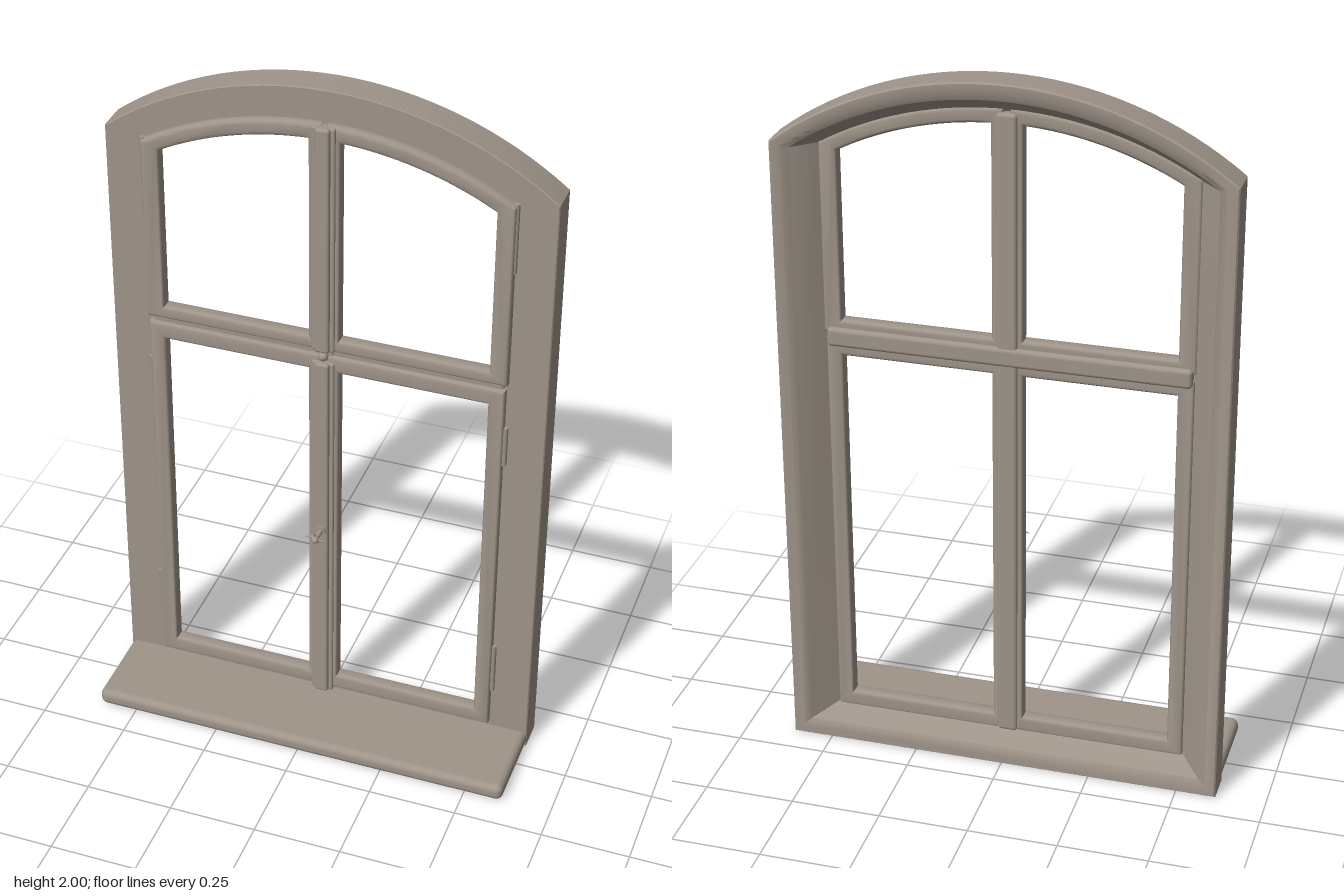
import * as THREE from 'three';
import { toCreasedNormals } from 'three/addons/utils/BufferGeometryUtils.js';
import { RoundedBoxGeometry } from 'three/addons/geometries/RoundedBoxGeometry.js';

const paint = new THREE.MeshStandardMaterial({ color: 0x9f9489 });
paint.name = 'weathered paint';

function add(group, name, geometry, x = 0, y = 0, z = 0) {
  const mesh = new THREE.Mesh(geometry, paint);
  mesh.name = name;
  mesh.position.set(x, y, z);
  group.add(mesh);
  return mesh;
}

// Box given by its limits, with softly rounded edges
function bar(group, name, [x0, x1], [y0, y1], [z0, z1], r = 0.006) {
  const geometry = new RoundedBoxGeometry(x1 - x0, y1 - y0, z1 - z0, 3, r);
  return add(group, name, geometry, (x0 + x1) / 2, (y0 + y1) / 2, (z0 + z1) / 2);
}

// Counter-clockwise outline with a segmental arch on top
function archLoop(w, bottom, spring, apex, z, n = 32) {
  const h = apex - spring, R = (w * w + h * h) / (2 * h), a = Math.asin(w / R);
  const points = [[-w, bottom, z], [w, bottom, z]];
  for (let i = 0; i <= n; i++) {
    const t = a - (2 * a * i) / n;
    points.push([R * Math.sin(t), apex - R + R * Math.cos(t), z]);
  }
  return points;
}

// Skin a ring of loops into a closed, hollow frame
function loftRing(loops) {
  const n = loops[0].length, index = [];
  for (let k = 0; k < loops.length; k++) {
    const k2 = (k + 1) % loops.length;
    for (let i = 0; i < n; i++) {
      const j = (i + 1) % n;
      const a = k * n + i, b = k * n + j, c = k2 * n + j, d = k2 * n + i;
      index.push(a, d, c, a, c, b);
    }
  }
  const geometry = new THREE.BufferGeometry();
  geometry.setAttribute('position', new THREE.Float32BufferAttribute(loops.flat(2), 3));
  geometry.setIndex(index);
  return toCreasedNormals(geometry, 0.5);
}

// Counter-clockwise outline of a pane or sash: straight top, or arched when R is given
function paneOutline(Type, side, x0, x1, y0, top, R) {
  const points = [[x0, y0], [x1, y0]];
  const n = R ? 16 : 1;
  for (let i = 0; i <= n; i++) {
    const x = x1 + ((x0 - x1) * i) / n;
    points.push([x, R ? top - R + Math.sqrt(R * R - x * x) : top]);
  }
  if (side < 0) points.reverse();
  return new Type(points.map(([x, y]) => new THREE.Vector2(side * x, y)));
}

// Sash frame with bevelled mouldings
function sashGeometry(outer, hole) {
  outer.holes.push(hole);
  const b = 0.01;
  const geometry = new THREE.ExtrudeGeometry(outer, {
    depth: 0.042 - 2 * b, bevelEnabled: true, bevelThickness: b,
    bevelSize: b, bevelOffset: -b, bevelSegments: 3,
  });
  return toCreasedNormals(geometry.translate(0, 0, -0.1 + b), 0.6);
}

export function createModel() {
  const model = new THREE.Group();
  model.name = 'arched window';

  // Surround: flat face, back rim and splayed reveal
  add(model, 'surround', loftRing([
    archLoop(0.485, 0.085, 1.765, 1.895, -0.08),
    archLoop(0.608, 0.002, 1.789, 1.998, -0.08),
    archLoop(0.611, 0, 1.79, 2.0, -0.083),
    archLoop(0.611, 0, 1.79, 2.0, -0.168),
    archLoop(0.607, 0.003, 1.788, 1.996, -0.172),
    archLoop(0.58, 0.03, 1.78, 1.972, -0.172),
    archLoop(0.56, 0.048, 1.775, 1.952, -0.163),
    archLoop(0.498, 0.075, 1.77, 1.905, -0.09),
  ]));

  // Projecting sill
  bar(model, 'sill', [-0.61, 0.61], [0, 0.05], [-0.12, 0.168], 0.02);

  for (const side of [1, -1]) {
    const label = side > 0 ? 'left' : 'right';
    // Upper arched sash
    add(model, label + 'UpperSash', sashGeometry(
      paneOutline(THREE.Shape, side, 0.008, 0.505, 1.238, 1.912, 0.99),
      paneOutline(THREE.Path, side, 0.043, 0.455, 1.275, 1.868, 0.95)));
    // Lower casement
    add(model, label + 'LowerSash', sashGeometry(
      paneOutline(THREE.Shape, side, 0.008, 0.5, 0.068, 1.222),
      paneOutline(THREE.Path, side, 0.043, 0.455, 0.115, 1.172)));
    // Slim hinges along the outer stiles
    for (const [y, h] of [[1.68, 0.2], [1.04, 0.12], [0.27, 0.16]]) {
      add(model, label + 'Hinge', new THREE.CylinderGeometry(0.008, 0.008, h, 10),
        side * 0.503, y, -0.074);
    }
  }

  // Central post, cover strips and transom
  bar(model, 'centrePost', [-0.028, 0.028], [0.07, 1.9], [-0.108, -0.066], 0.01);
  bar(model, 'transom', [-0.495, 0.495], [1.2, 1.255], [-0.112, -0.07], 0.012);
  for (const [name, y] of [['lowerCoverStrip', [0.06, 1.205]], ['upperCoverStrip', [1.24, 1.91]]]) {
    bar(model, name, [-0.032, 0.032], y, [-0.08, -0.052]);
    bar(model, name + 'Bead', [-0.02, 0.02], y, [-0.075, -0.041], 0.008);
  }
  add(model, 'transomBoss', new THREE.SphereGeometry(0.014, 14, 10), 0, 1.222, -0.058);

  // Butterfly handle
  const handle = new THREE.Group();
  handle.name = 'handle';
  handle.position.set(0, 0.65, 0);
  add(handle, 'handleRose', new THREE.CylinderGeometry(0.014, 0.014, 0.008, 16), 0, 0, -0.039)
    .rotation.x = Math.PI / 2;
  add(handle, 'handleStem', new THREE.CylinderGeometry(0.006, 0.008, 0.05, 12), 0, 0, -0.02)
    .rotation.x = Math.PI / 2;
  add(handle, 'handleKnob', new THREE.SphereGeometry(0.01, 14, 10), 0, 0, 0.004)
    .scale.z = 1.3;
  for (const side of [1, -1]) {
    add(handle, 'handleWing', new THREE.ConeGeometry(0.007, 0.034, 10), side * 0.019, side * -0.004, 0.001)
      .rotation.z = -side * (Math.PI / 2 + 0.2);
  }
  model.add(handle);

  return model;
}
